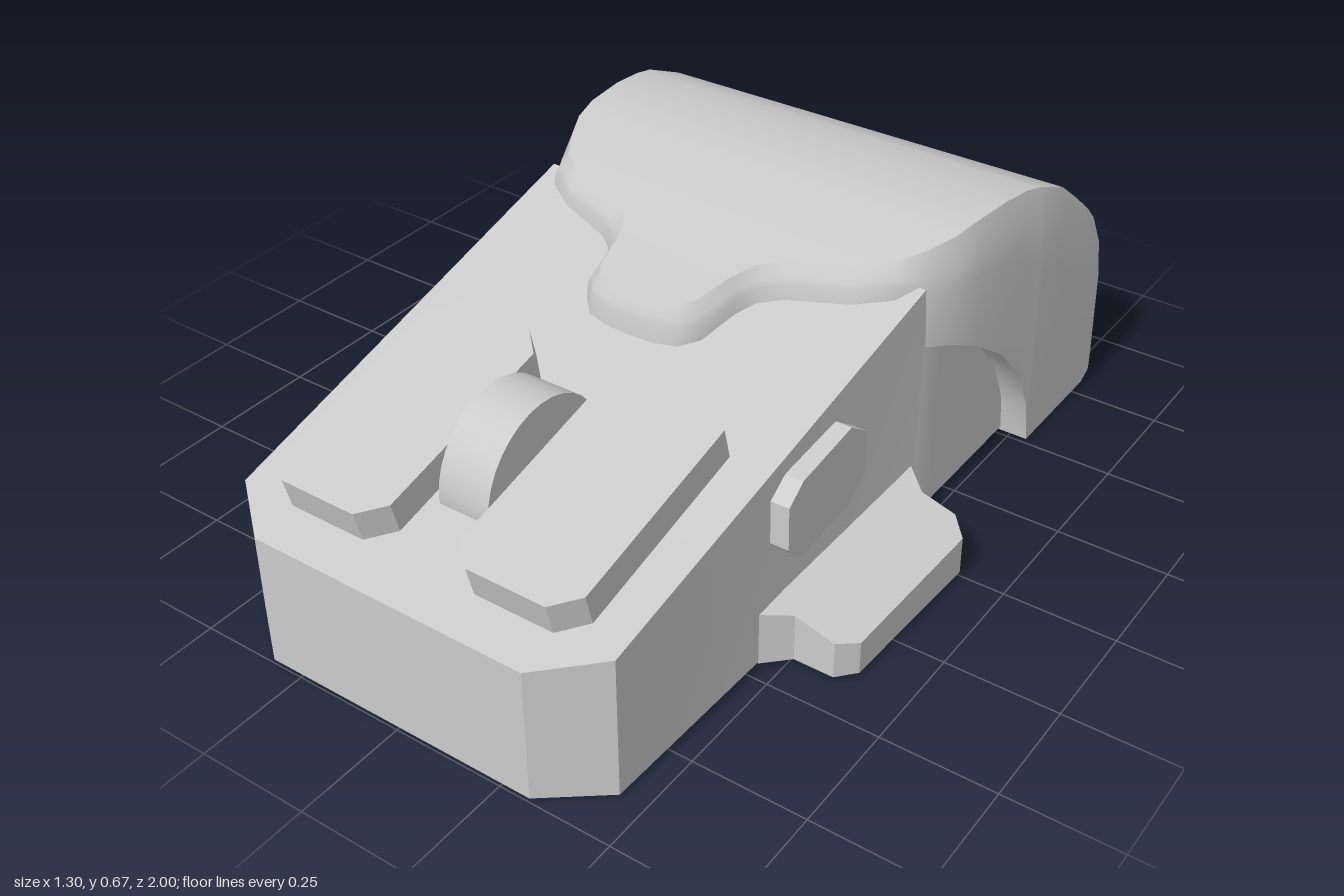
import * as THREE from 'three';
import { toCreasedNormals } from 'three/addons/utils/BufferGeometryUtils.js';

const material = new THREE.MeshStandardMaterial({ color: 0xcccccc, side: THREE.DoubleSide });

// Side-profile heights as [z, y], z falling from front to back
const SHELL_TOP = [[0.24, 0.57], [0.1, 0.597], [-0.1, 0.637], [-0.25, 0.665], [-0.42, 0.665],
  [-0.52, 0.64], [-0.63, 0.59], [-0.77, 0.485], [-0.93, 0.345], [-0.96, 0.315]];
const BODY_TOP = [[1, 0.31], [0.9, 0.33], [-0.1, 0.58]];
const ARCH = [[-0.11, 0.44], [-0.18, 0.42], [-0.25, 0.385], [-0.36, 0.31], [-0.45, 0.21], [-0.5, 0.1], [-0.515, 0]];
const ARCH_X = [0.475, 0.505, 0.518, 0.528, 0.534, 0.538, 0.54];

function heightAt(profile, z) {
  if (z >= profile[0][0]) return profile[0][1];
  for (let i = 1; i < profile.length; i++) {
    const [z0, y0] = profile[i - 1], [z1, y1] = profile[i];
    if (z >= z1) return y0 + (y1 - y0) * (z0 - z) / (z0 - z1);
  }
  return profile[profile.length - 1][1];
}

function mesh(name, geometry) {
  const m = new THREE.Mesh(geometry, material);
  m.name = name;
  return m;
}

// Skin over rows of [x, y, z] points
function skin(name, rows, crease = 0.6) {
  const n = rows[0].length, index = [];
  for (let r = 0; r < rows.length - 1; r++) {
    for (let i = 0; i < n - 1; i++) {
      const a = r * n + i, c = a + n;
      index.push(a, c, a + 1, a + 1, c, c + 1);
    }
  }
  const g = new THREE.BufferGeometry();
  g.setAttribute('position', new THREE.Float32BufferAttribute(rows.flat(2), 3));
  g.setIndex(index);
  return mesh(name, toCreasedNormals(g, crease));
}

const flip = (pts) => pts.map(([x, y, z]) => [-x, y, z]);
const loop = (half) => [...half, ...flip(half).reverse()];
const cap = (name, half) => skin(name, [flip(half), half]);

// Flat prism from an outline
function prism(name, pts, depth) {
  const shape = new THREE.Shape(pts.map(([x, y]) => new THREE.Vector2(x, y)));
  return mesh(name, new THREE.ExtrudeGeometry(shape, { depth, bevelEnabled: false }));
}

function createBody() {
  const body = new THREE.Group();
  body.name = 'body';
  const front = [[0, 1], [0.32, 1], [0.447, 0.9], [0.472, -0.1]];
  const top = front.map(([x, z]) => [x, heightAt(BODY_TOP, z), z]);
  const wallTop = [...top, ...ARCH.map(([z, y]) => [0.475, Math.max(y, 0.015), z])];
  const base = wallTop.map(([x, , z]) => [x, 0.01, z]);
  // The open rear is left unjoined, so each side is its own skin
  body.add(skin('bodyWallLeft', [wallTop, base], 0.3));
  body.add(skin('bodyWallRight', [flip(base), flip(wallTop)], 0.3));
  body.add(cap('bodyTop', top));
  return body;
}

function createShell() {
  const shell = new THREE.Group();
  shell.name = 'palmShell';
  // Half outline, front centre to back centre: outer x, z then inset x, z
  const rows = [
    [0, 0.26, 0, 0.235], [0.06, 0.257, 0.055, 0.23], [0.11, 0.245, 0.098, 0.218],
    [0.143, 0.21, 0.12, 0.19], [0.163, 0.12, 0.14, 0.105], [0.185, 0.077, 0.165, 0.05],
    [0.23, 0.045, 0.215, 0.015], [0.36, 0, 0.348, -0.03], [0.43, -0.045, 0.41, -0.08],
    ...ARCH.map(([z], i) => [ARCH_X[i], z, ARCH_X[i] - 0.028, z - 0.025 * (1 - i / 6)]),
    [0.54, -0.63, 0.511, -0.63], [0.54, -0.72, 0.508, -0.72], [0.54, -0.8, 0.505, -0.8],
    [0.53, -0.86, 0.497, -0.86], [0.515, -0.9, 0.485, -0.89], [0.48, -0.94, 0.455, -0.92],
    [0.44, -0.978, 0.42, -0.945], [0.36, -1, 0.345, -0.953], [0, -1, 0, -0.953],
  ];
  const inset = rows.map(([, , x, z]) => [x, heightAt(SHELL_TOP, z), z]);
  const rim = rows.map(([x, z, xi, zi]) => [x + (xi - x) * 0.4,
    heightAt(SHELL_TOP, zi) - (z > -0.1 ? 0.025 : 0.055), z + (zi - z) * 0.4]);
  const base = rows.map(([x, z]) => [x, z > -0.1 ? heightAt(BODY_TOP, z) - 0.01 : heightAt(ARCH, z), z]);
  // Rounded shoulder just below the rim
  const shoulder = rows.map(([x, z, xi, zi], i) =>
    [x + (xi - x) * 0.12, rim[i][1] + (base[i][1] - rim[i][1]) * 0.25, z + (zi - z) * 0.2]);
  shell.add(skin('shellRim', [inset, rim, shoulder, base].map(loop), 0.75));
  shell.add(cap('shellTop', inset));
  // Ledge from the arched edge in to the body
  const edge = ARCH.map(([z, y], i) => [ARCH_X[i], y, z]);
  const inner = ARCH.map(([z, y]) => [0.46, y, z]);
  shell.add(skin('archLedgeLeft', [edge, inner]));
  shell.add(skin('archLedgeRight', [flip(inner), flip(edge)]));
  return shell;
}

// Side wing, hollow below
function createWing(side) {
  const wing = new THREE.Group();
  wing.name = side > 0 ? 'wingLeft' : 'wingRight';
  const plan = [[0.46, 0.47], [0.51, 0.42], [0.6, 0.42], [0.635, 0.38], [0.648, 0], [0.605, -0.045], [0.525, -0.045], [0.46, -0.1]];
  const top = plan.map(([x, z]) => [x, 0.152 - (x - 0.46) * 0.29 - z * 0.04, z]);
  const base = plan.map(([x, z]) => [x, 0.01, z]);
  const root = plan.map(([, z]) => [0.46, 0.152 - z * 0.04, z]);
  const rows = (a, b) => side > 0 ? [a, b] : [flip(b), flip(a)];
  wing.add(skin('wingEdge', rows(top, base), 0.3));
  wing.add(skin('wingTop', rows(root, top), 0.3));
  return wing;
}

function createClickButton(side) {
  const w = 0.14, l = 0.267, c = 0.05;
  const octagon = [[w - c, -l], [w, c - l], [w, l - c], [w - c, l],
    [c - w, l], [-w, l - c], [-w, c - l], [c - w, -l]];
  const b = prism(side > 0 ? 'clickButtonLeft' : 'clickButtonRight', octagon, 0.085);
  b.rotation.x = -Math.PI / 2 + Math.atan(0.25);
  b.position.set(side * 0.225, heightAt(BODY_TOP, 0.645) - 0.012, 0.642);
  return b;
}

export function createModel() {
  const model = new THREE.Group();
  model.name = 'computerMouse';
  model.add(createBody(), createShell());
  for (const side of [1, -1]) model.add(createWing(side), createClickButton(side));

  const wheel = mesh('scrollWheel', toCreasedNormals(
    new THREE.CylinderGeometry(0.167, 0.167, 0.12, 32).rotateZ(Math.PI / 2), 0.6));
  wheel.position.set(0, 0.376, 0.605);
  model.add(wheel);

  // Thumb button on the left flank only, outlined as [-z, y]
  const thumb = prism('thumbButton', [[-0.435, 0.285], [-0.39, 0.24], [-0.21, 0.26], [-0.157, 0.305],
    [-0.16, 0.4], [-0.22, 0.443], [-0.39, 0.42], [-0.437, 0.385]], 0.045);
  thumb.rotation.y = Math.PI / 2;
  thumb.position.x = 0.455;
  model.add(thumb);
  return model;
}
